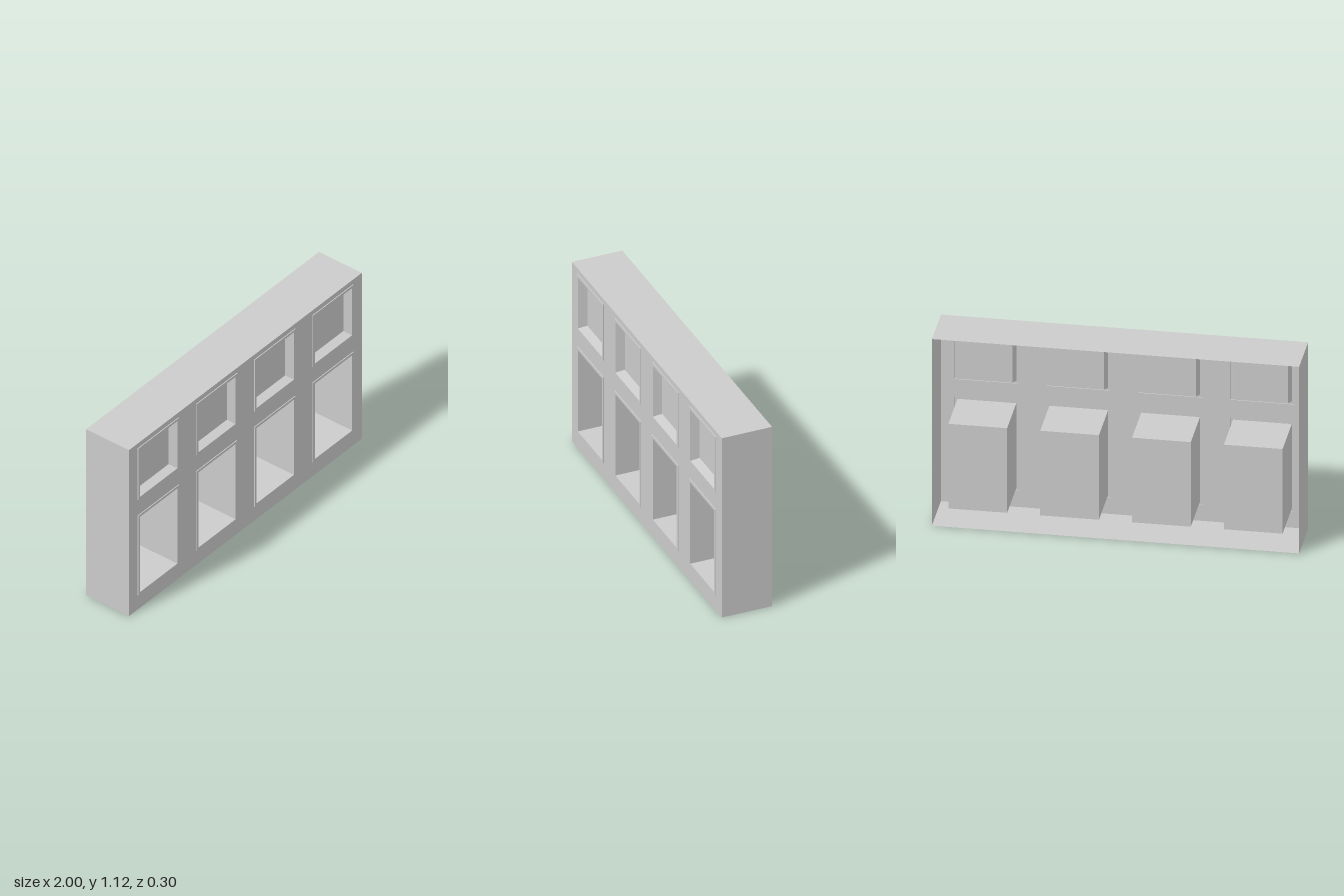
import * as THREE from 'three';

const BACK = -0.15, PANEL = 0.145, FRONT = 0.15;
const WIDTH = 2, HEIGHT = 1.125;
const BORDER = 0.015; // width of the raised border round each opening

const material = new THREE.MeshStandardMaterial({
  color: 0xcccccc, flatShading: true, side: THREE.DoubleSide,
});

// Skin through rectangular sections [halfWidth, halfHeight, z], optionally closed at the last one
function rectLoft(sections, cap) {
  const corners = sections.map(([w, h, z]) => [[-w, -h, z], [w, -h, z], [w, h, z], [-w, h, z]]);
  const pos = [];
  const quad = (a, b, c, d) => pos.push(...a, ...b, ...c, ...a, ...c, ...d);
  for (let i = 0; i + 1 < corners.length; i++) {
    for (let k = 0; k < 4; k++) {
      const n = (k + 1) % 4;
      quad(corners[i][k], corners[i][n], corners[i + 1][n], corners[i + 1][k]);
    }
  }
  if (cap) quad(...corners[corners.length - 1]);
  const geo = new THREE.BufferGeometry();
  geo.setAttribute('position', new THREE.Float32BufferAttribute(pos, 3));
  geo.computeVertexNormals();
  return geo;
}

function rectPath(path, x, y, w, h) {
  path.moveTo(x - w, y - h);
  path.lineTo(x + w, y - h);
  path.lineTo(x + w, y + h);
  path.lineTo(x - w, y + h);
  path.closePath();
  return path;
}

export function createModel() {
  const model = new THREE.Group();
  const add = (name, geo, x, y) => {
    const mesh = new THREE.Mesh(geo, material);
    mesh.name = name;
    mesh.position.set(x, y, 0);
    model.add(mesh);
  };

  // Top, bottom and side walls, open at the back
  const w = WIDTH / 2, h = HEIGHT / 2;
  add('outerWalls', rectLoft([[w, h, BACK], [w, h, PANEL]], false), 0, h);

  // Two rows of openings: shallow bevelled windows above, deep niches below
  const rows = [
    { name: 'window', y: 0.918, w: 0.16, h: 0.16, depth: 0.05, bevel: 0.013 },
    { name: 'niche', y: 0.367, w: 0.16, h: 0.255, depth: FRONT - BACK, bevel: 0 },
  ];
  const face = rectPath(new THREE.Shape(), 0, h, w, h);
  for (const r of rows) {
    const ow = r.w + BORDER, oh = r.h + BORDER;
    // Raised border, then the recess with its back
    const geo = rectLoft([
      [ow, oh, PANEL],
      [ow, oh, FRONT],
      [r.w, r.h, FRONT],
      [r.w - r.bevel, r.h - r.bevel, FRONT - r.depth],
    ], true);
    for (const x of [-0.75, -0.25, 0.25, 0.75]) {
      add(r.name, geo, x, r.y);
      face.holes.push(rectPath(new THREE.Path(), x, r.y, ow, oh));
    }
  }

  // Front wall with the openings cut out
  const panel = new THREE.ShapeGeometry(face);
  panel.translate(0, 0, PANEL);
  add('frontPanel', panel, 0, 0);

  return model;
}
